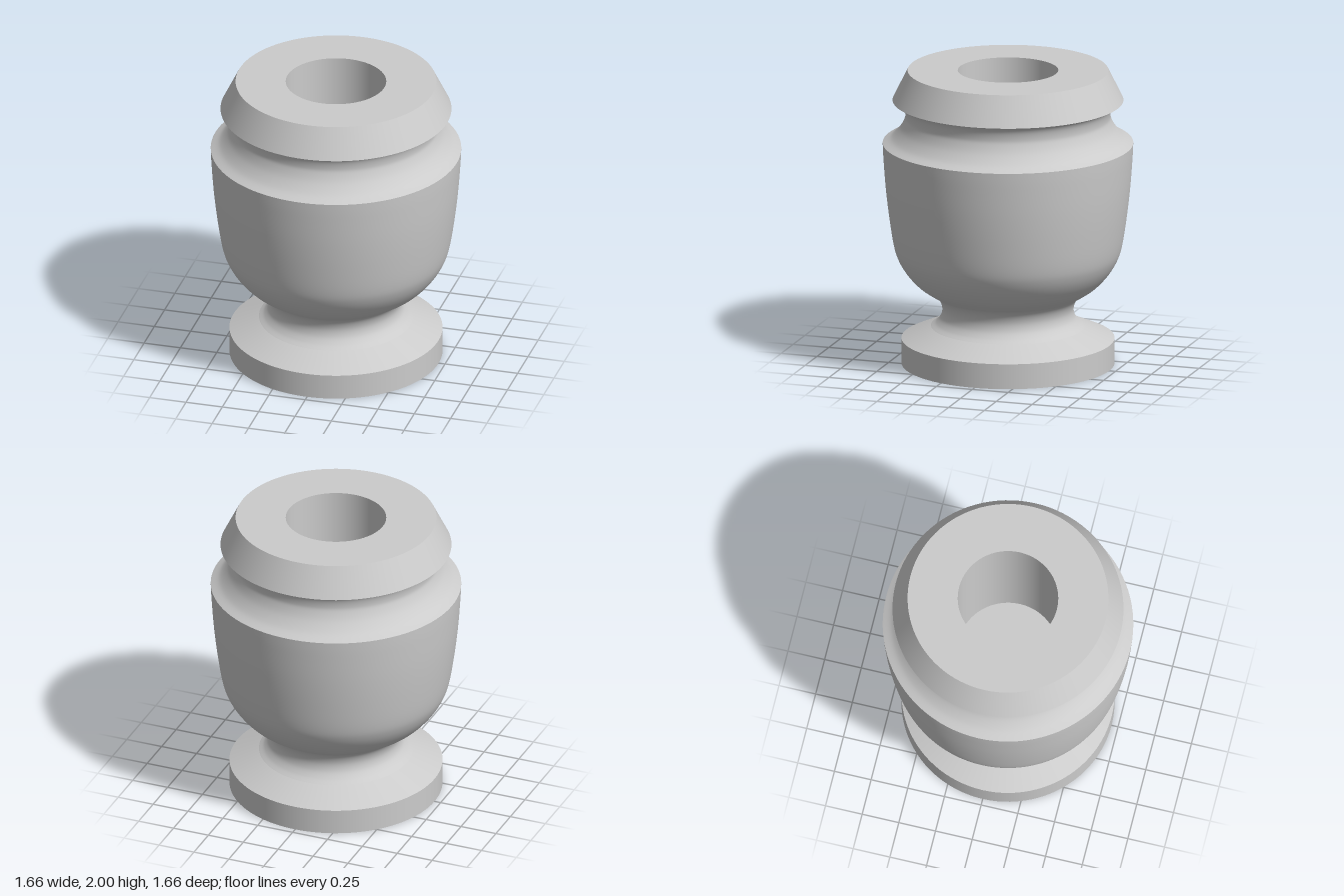
import * as THREE from 'three';

const material = new THREE.MeshStandardMaterial({ color: 0xcccccc });

// Turn a profile of [radius, height] points; smooth ones go through a spline
function turn(name, profile, smooth = false) {
  let points = profile.map(([r, y]) => new THREE.Vector2(r, y));
  if (smooth) points = new THREE.SplineCurve(points).getPoints(48);
  const mesh = new THREE.Mesh(new THREE.LatheGeometry(points, 96), material);
  mesh.name = name;
  return mesh;
}

export function createModel() {
  const model = new THREE.Group();
  model.name = 'turnedCup';

  // Foot: flat underside, upright edge and sloping top
  model.add(turn('footUnderside', [[0, 0], [0.706, 0]]));
  model.add(turn('footEdge', [[0.706, 0], [0.706, 0.17]]));
  model.add(turn('footSlope', [[0.706, 0.17], [0.51, 0.255]]));

  // Waist flowing into the bowl
  model.add(turn('waist', [
    [0.51, 0.255], [0.475, 0.28], [0.445, 0.32], [0.435, 0.37],
    [0.447, 0.42], [0.475, 0.46], [0.515, 0.485],
  ], true));
  model.add(turn('bowl', [
    [0.515, 0.485], [0.595, 0.54], [0.67, 0.62], [0.725, 0.71], [0.757, 0.81],
    [0.787, 1.0], [0.81, 1.2], [0.825, 1.4], [0.83, 1.505],
  ], true));

  // Hollow groove between bowl and rim
  model.add(turn('groove', [
    [0.83, 1.505], [0.77, 1.54], [0.716, 1.6], [0.686, 1.66], [0.68, 1.7],
    [0.69, 1.75], [0.716, 1.783], [0.765, 1.797],
  ], true));

  // Tapered rim with flat top
  model.add(turn('rimSlope', [[0.765, 1.797], [0.665, 2]]));
  model.add(turn('rimTop', [[0.665, 2], [0.333, 2]]));

  // Straight bore with flat bottom
  model.add(turn('boreWall', [[0.333, 2], [0.333, 1]]));
  model.add(turn('boreFloor', [[0.333, 1], [0, 1]]));

  return model;
}
